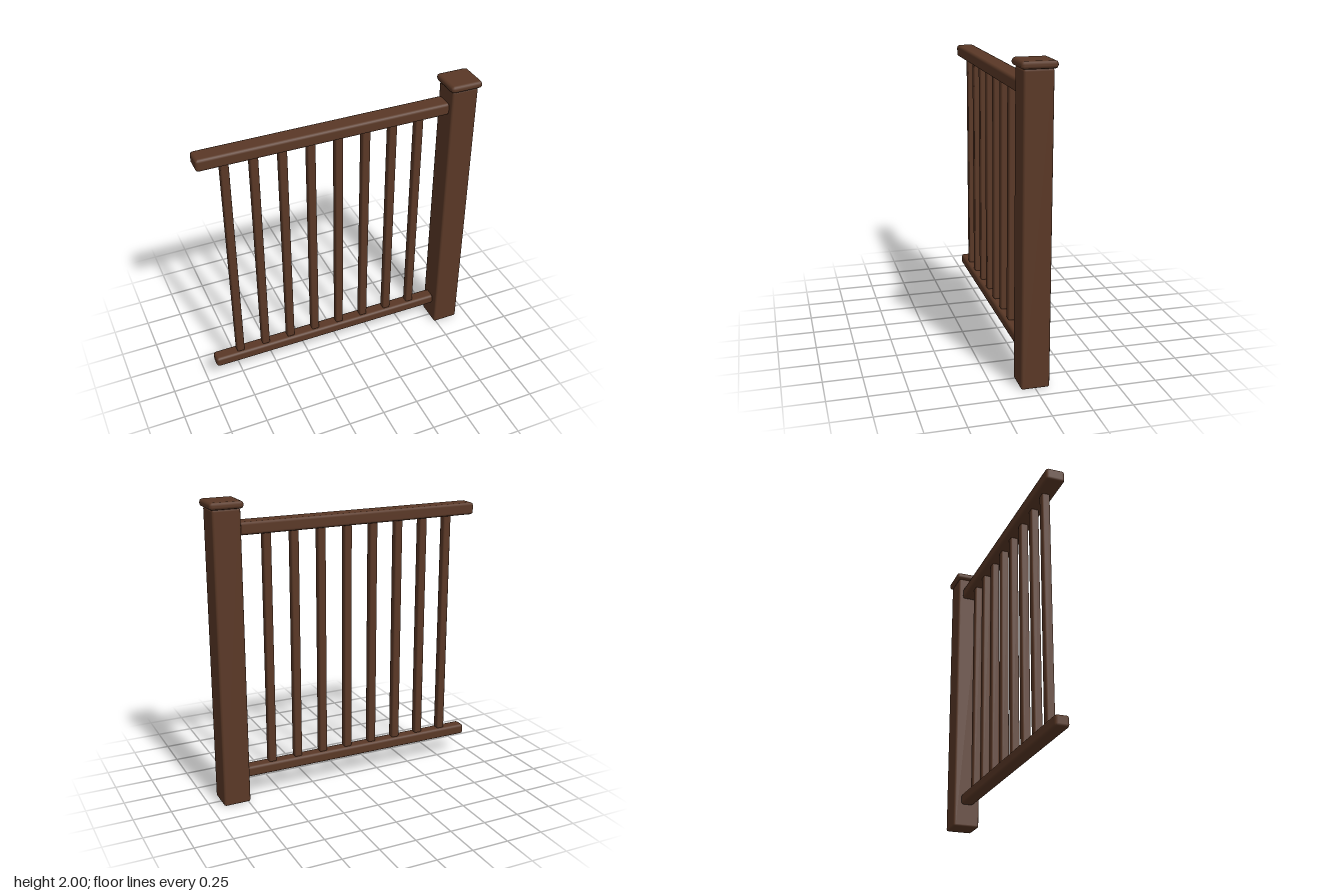
import * as THREE from 'three';
import { RoundedBoxGeometry } from 'three/addons/geometries/RoundedBoxGeometry.js';

export function createModel() {
  const model = new THREE.Group();
  model.name = 'railing';

  const wood = new THREE.MeshStandardMaterial({ color: 0x5a3826 });
  wood.name = 'dark brown wood';

  // A softly bevelled timber spanning the given x and y ranges, centred on z = 0
  function timber(name, x0, x1, y0, y1, depth, bevel) {
    const geometry = new RoundedBoxGeometry(x1 - x0, y1 - y0, depth, 1, bevel);
    const mesh = new THREE.Mesh(geometry, wood);
    mesh.name = name;
    mesh.position.set((x0 + x1) / 2, (y0 + y1) / 2, 0);
    model.add(mesh);
  }

  // Newel post with its overhanging cap
  timber('post', 0.735, 0.917, 0, 1.955, 0.182, 0.014);
  timber('postCap', 0.717, 0.937, 1.953, 2, 0.22, 0.02);

  // Wide handrail and narrower bottom rail
  timber('topRail', -0.94, 0.737, 1.78, 1.862, 0.126, 0.018);
  timber('bottomRail', -0.94, 0.737, 0.152, 0.225, 0.09, 0.018);

  // Evenly spaced balusters
  const count = 8, first = -0.756, spacing = 0.186, half = 0.027;
  for (let i = 0; i < count; i++) {
    const x = first + i * spacing;
    timber(`baluster${i + 1}`, x - half, x + half, 0.222, 1.783, half * 2, 0.01);
  }

  return model;
}
